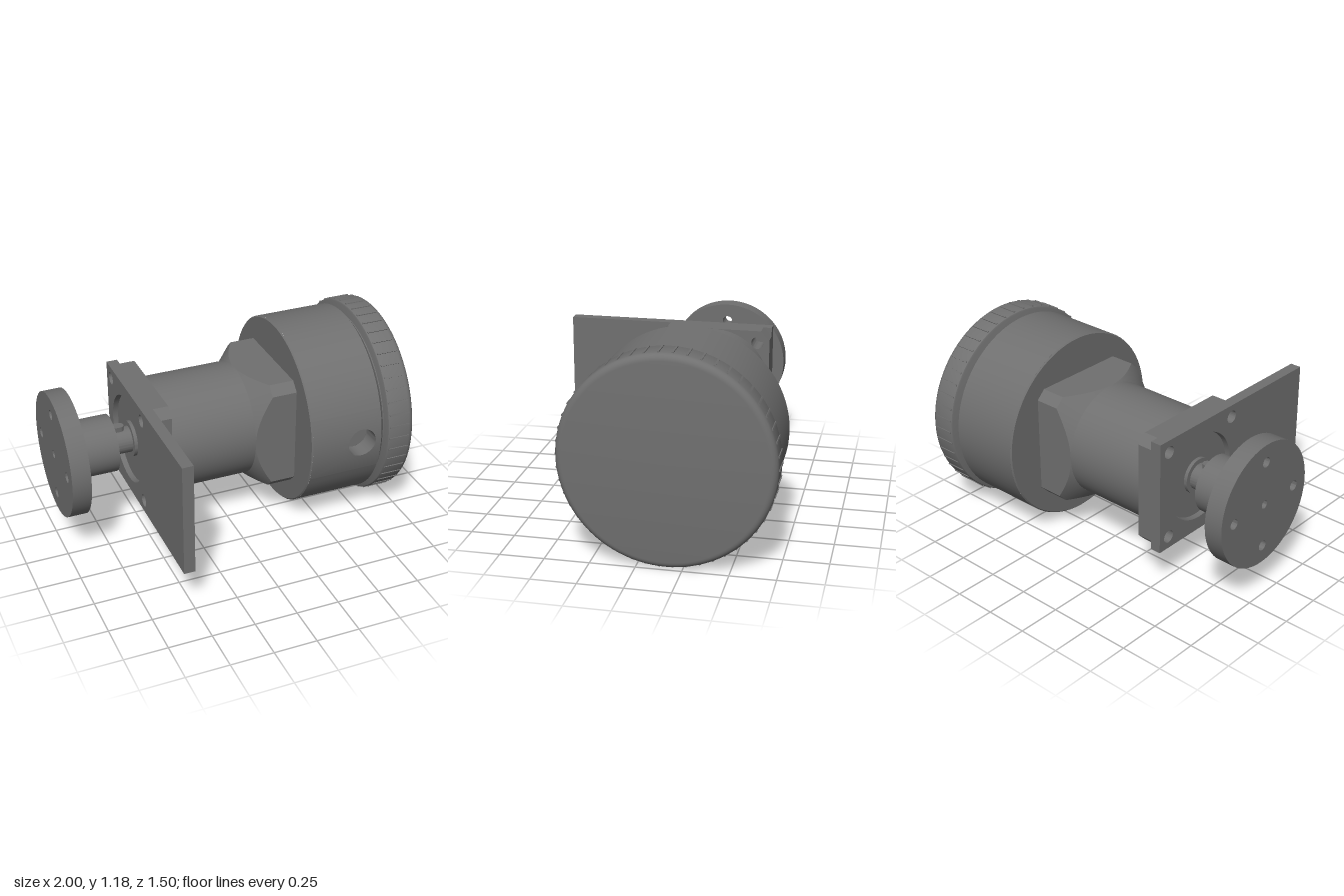
import * as THREE from 'three';
import { toCreasedNormals } from 'three/addons/utils/BufferGeometryUtils.js';
import { ParametricGeometry } from 'three/addons/geometries/ParametricGeometry.js';

const darkGrey = new THREE.MeshStandardMaterial({ color: 0x707070 });
const darkGreyDouble = new THREE.MeshStandardMaterial({ color: 0x707070, side: THREE.DoubleSide });

export function createModel() {
  const model = new THREE.Group();
  model.name = 'flangedMotor';
  // Everything is placed relative to the shaft axis, which runs along x
  const unit = new THREE.Group();
  unit.name = 'motorUnit';
  unit.position.set(0, 0.592, -0.157);
  model.add(unit);

  const add = (name, geometry, material = darkGrey, parent = unit) => {
    const mesh = new THREE.Mesh(toCreasedNormals(geometry, 0.5), material);
    mesh.name = name;
    parent.add(mesh);
    return mesh;
  };

  // Turned part: profile of [x, radius], from low x to high x
  const turned = (profile, start = 0, length = Math.PI * 2, segments = 72) =>
    new THREE.LatheGeometry(profile.map(([x, r]) => new THREE.Vector2(r, x)), segments, start, length)
      .rotateZ(-Math.PI / 2);

  // Flat part: outline in (-z, y), extruded from x0 to x1
  const slab = (shape, x0, x1) =>
    new THREE.ExtrudeGeometry(shape, { depth: x1 - x0, bevelEnabled: false, curveSegments: 32 })
      .rotateY(Math.PI / 2).translate(x0, 0, 0);

  const hole = (shape, x, y, r) => shape.holes.push(new THREE.Path().absarc(x, y, r, 0, Math.PI * 2, true));
  const cornerHoles = (shape) => {
    for (const sx of [-1, 1]) for (const sy of [-1, 1]) hole(shape, sx * 0.265, sy * 0.265, 0.037);
  };
  const H = 0.338; // half width of the square sections
  const C = 0.286; // where their corner chamfers begin
  const octagon = [[H, -C], [H, C], [C, H], [-C, H], [-H, C], [-H, -C], [-C, -H], [C, -H]];

  // Output flange with four bolt holes and a centre hole
  const disc = new THREE.Shape().absarc(0, 0, 0.366, 0, Math.PI * 2);
  for (let i = 0; i < 4; i++) hole(disc, 0.26 * Math.cos(i * Math.PI / 2), 0.26 * Math.sin(i * Math.PI / 2), 0.03);
  hole(disc, 0, 0, 0.023);
  add('outputFlange', slab(disc, -1, -0.89));
  add('flangeHub', turned([[-0.9, 0], [-0.9, 0.168], [-0.66, 0.168], [-0.66, 0]]));

  // Shaft, collar and key
  add('shaft', turned([[-0.67, 0], [-0.67, 0.077], [-0.5, 0.077]]));
  add('shaftCollar', turned([[-0.55, 0.07], [-0.55, 0.105], [-0.52, 0.105]]));
  const keyShape = new THREE.Shape().moveTo(-0.7, -0.027).lineTo(-0.607, -0.027)
    .absarc(-0.607, 0, 0.027, -Math.PI / 2, Math.PI / 2).lineTo(-0.7, 0.027);
  add('shaftKey', new THREE.ExtrudeGeometry(keyShape, { depth: 0.06, bevelEnabled: false })
    .rotateX(-Math.PI / 2).translate(0, 0.042, 0));

  // Mounting bracket reaching out to the front
  const bracket = new THREE.Shape().moveTo(-0.906, -H).lineTo(H, -H).lineTo(H, H).lineTo(-0.906, H);
  hole(bracket, 0, 0, 0.26);
  cornerHoles(bracket);
  add('mountingBracket', slab(bracket, -0.56, -0.495));
  add('pilotBoss', turned([[-0.53, 0], [-0.53, 0.255], [-0.48, 0.255]]));

  // Motor flange and round body
  const motorFlange = new THREE.Shape(octagon.map(([x, y]) => new THREE.Vector2(x, y)));
  cornerHoles(motorFlange);
  add('motorFlange', slab(motorFlange, -0.495, -0.405));
  add('motorBody', turned([[-0.41, 0], [-0.41, H], [0.11, H], [0.11, 0]]));

  add('rearBlock', chamferedBlock(H, C, 0.105, 0.36));

  // Drum housing, its wall split around a side port
  const drum = new THREE.Group();
  drum.name = 'drum';
  unit.add(drum);
  const R = 0.563, x0 = 0.362, x1 = 0.797, portX = 0.675, portR = 0.087, A = 0.35;
  add('drumBackFace', turned([[0.355, 0], [0.355, R - 0.007], [x0, R]]), darkGrey, drum);
  add('drumFrontFace', turned([[x1, R], [0.805, R - 0.01], [0.807, 0.545], [0.825, 0.527], [0.835, 0.527]]),
    darkGrey, drum);
  add('drumWall', turned([[x0, R], [x1, R]], A, Math.PI * 2 - 2 * A), darkGrey, drum);
  const onDrum = (x, s, target) => target.set(x, R * Math.sin(s), R * Math.cos(s));
  add('drumPortSurround', new ParametricGeometry((u, v, target) => {
    const t = -u * Math.PI * 2, c = Math.cos(t), s = Math.sin(t), m = Math.max(Math.abs(c), Math.abs(s));
    const edgeX = portX + (c / m) * (c > 0 ? x1 - portX : portX - x0);
    const innerA = Math.asin(portR * s / R);
    onDrum(THREE.MathUtils.lerp(portX + portR * c, edgeX, v), THREE.MathUtils.lerp(innerA, A * s / m, v), target);
  }, 64, 8), darkGrey, drum);
  add('portBore', new ParametricGeometry((u, v, target) => {
    const t = u * Math.PI * 2, y = portR * Math.sin(t);
    target.set(portX + portR * Math.cos(t), y, THREE.MathUtils.lerp(Math.sqrt(R * R - y * y), 0.45, v));
  }, 64, 1), darkGreyDouble, drum);
  add('portFloor', new THREE.CircleGeometry(portR, 32).translate(portX, 0, 0.45), darkGrey, drum);

  // Rounded end cap with grip ribs
  const cap = [[0.83, 0], [0.83, 0.575], [0.834, 0.583], [0.842, 0.587], [0.962, 0.587]];
  for (let i = 1; i <= 6; i++) {
    const a = i * Math.PI / 12;
    cap.push([0.962 + 0.038 * Math.sin(a), 0.549 + 0.038 * Math.cos(a)]);
  }
  cap.push([1, 0]);
  add('endCap', turned(cap, 0, Math.PI * 2, 100));
  const ribs = new THREE.Group();
  ribs.name = 'gripRibs';
  unit.add(ribs);
  const ribGeometry = new THREE.BoxGeometry(0.125, 0.014, 0.01).translate(0.9025, 0.585, 0);
  for (let i = 0; i < 50; i++) {
    add('gripRib', ribGeometry, darkGrey, ribs).rotation.x = ((i + 0.5) / 50) * Math.PI * 2;
  }
  return model;
}

// Square block with cut corners, its front edge trimmed by a 45 degree cone
function chamferedBlock(half, cut, xFront, xBack) {
  const angles = [];
  const corner = Math.atan2(cut, half);
  for (let q = 0; q < 4; q++) {
    const base = q * Math.PI / 2;
    for (let i = 0; i < 16; i++) angles.push(base - corner + (2 * corner * i) / 16);
    for (let i = 0; i < 4; i++) angles.push(base + corner + ((Math.PI / 2 - 2 * corner) * i) / 4);
  }
  const reach = (a) => Math.min(
    half / Math.max(Math.abs(Math.cos(a)), Math.abs(Math.sin(a))),
    (half + cut) / (Math.abs(Math.cos(a)) + Math.abs(Math.sin(a))));
  const positions = [], index = [], n = angles.length;
  for (const a of angles) {
    const r = reach(a);
    for (const [x, d] of [[xFront, half], [xFront + (r - half) * 0.97, r], [xBack, r]]) {
      positions.push(x, d * Math.cos(a), d * Math.sin(a));
    }
  }
  for (let i = 0; i < n; i++) {
    const a = i * 3, b = ((i + 1) % n) * 3;
    for (let k = 0; k < 2; k++) index.push(a + k, b + k + 1, a + k + 1, a + k, b + k, b + k + 1);
  }
  const geometry = new THREE.BufferGeometry();
  geometry.setAttribute('position', new THREE.Float32BufferAttribute(positions, 3));
  geometry.setIndex(index);
  return geometry;
}
